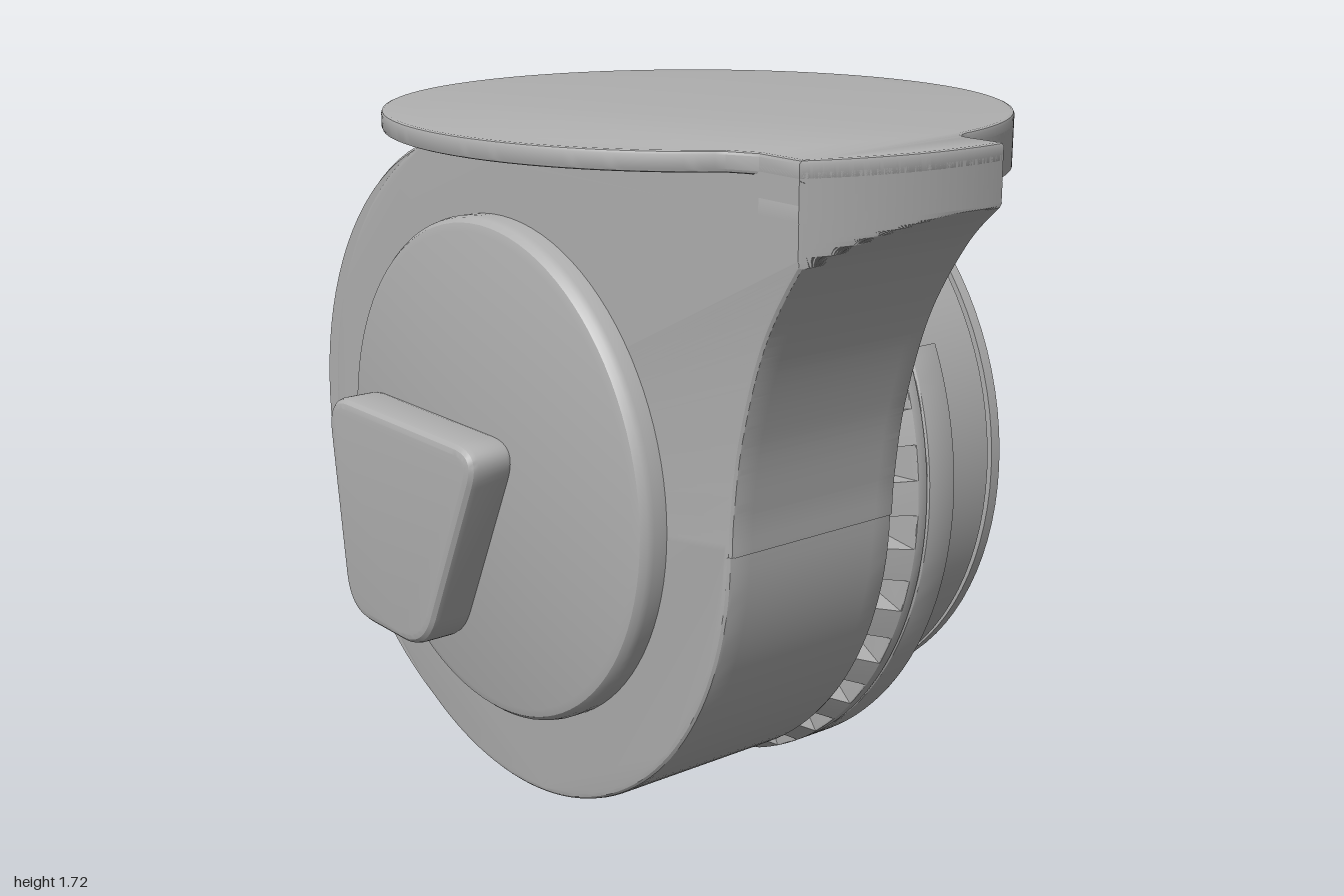
import * as THREE from 'three';
import { toCreasedNormals } from 'three/addons/utils/BufferGeometryUtils.js';

const D = Math.PI / 180;
const CY = 0.85, CZ = -0.12; // drum axis, running along x

const metal = new THREE.MeshStandardMaterial({ color: 0xb0b0b0 });
metal.name = 'grey metal';

function mesh(name, geo, parent, crease = 0.5) {
  const m = new THREE.Mesh(toCreasedNormals(geo, crease), metal);
  m.name = name;
  parent.add(m);
  return m;
}

// Extrude along x from x0 to x1; shape x runs towards -z, shape y is up
function extrudeX(shape, x0, x1, bevel = 0, steps = 1, curveSegments = 48) {
  const g = new THREE.ExtrudeGeometry(shape, {
    depth: x1 - x0 - 2 * bevel, steps, curveSegments,
    bevelEnabled: bevel > 0, bevelThickness: bevel, bevelSize: bevel,
    bevelOffset: -bevel, bevelSegments: 3,
  });
  return g.rotateY(Math.PI / 2).translate(x0 + bevel, 0, 0);
}

// Turned part around the x axis, from [radius, x] pairs
function turnX(points, segments = 96) {
  return new THREE.LatheGeometry(points.map(p => new THREE.Vector2(...p)), segments).rotateZ(-Math.PI / 2);
}

const polar = (r, deg) => new THREE.Vector2(r * Math.cos(deg * D), r * Math.sin(deg * D));

function circleHole(r, deg, size) {
  const c = polar(r, deg);
  return new THREE.Path().absarc(c.x, c.y, size, 0, Math.PI * 2, true);
}

function roundedPolygon(corners, t) {
  const s = new THREE.Shape(), n = corners.length;
  const v = corners.map(c => new THREE.Vector2(...c));
  const toward = (a, b) => a.clone().add(b.clone().sub(a).setLength(t));
  v.forEach((c, i) => {
    const a = toward(c, v[(i + n - 1) % n]), b = toward(c, v[(i + 1) % n]);
    if (i === 0) s.moveTo(a.x, a.y); else s.lineTo(a.x, a.y);
    s.quadraticCurveTo(c.x, c.y, b.x, b.y);
  });
  s.closePath();
  return s;
}

// Mounting plate outline: disc with a front tab, shape y runs towards +z
function plateShape(endDeg) {
  const s = new THREE.Shape(), start = polar(0.73, 78);
  s.moveTo(start.x, start.y);
  s.absarc(0, 0, 0.73, 78 * D, endDeg * D, true);
  s.lineTo(-0.385, 0.66);
  s.lineTo(-0.385, 0.78);
  s.absarc(0, 0, 0.87, 116.3 * D, 83.4 * D, true);
  s.lineTo(0.1, 0.78);
  s.quadraticCurveTo(0.1, 0.73, start.x, start.y);
  return s;
}

function plateGeo(endDeg, top, bottom, bevel) {
  return new THREE.ExtrudeGeometry(plateShape(endDeg), {
    depth: top - bottom - 2 * bevel, curveSegments: 96, bevelEnabled: bevel > 0,
    bevelThickness: bevel, bevelSize: bevel, bevelOffset: -bevel, bevelSegments: 2,
  }).rotateX(Math.PI / 2).translate(0, top - bevel, 0.13);
}

export function createModel() {
  const model = new THREE.Group();
  model.name = 'actuator joint';
  const drive = new THREE.Group();
  drive.name = 'drive unit';
  drive.position.set(0, CY, CZ);
  model.add(drive);

  // Mounting plate: thin over the whole disc, thick right of the housing
  mesh('mountingPlate', plateGeo(-235, 1.725, 1.68, 0.008), model);
  mesh('plateThickening', plateGeo(-121.9, 1.7, 1.6, 0), model);

  // Housing: round body sweeping up into the front tab
  const body = new THREE.Shape();
  body.moveTo(-1.12, 0.8);
  body.lineTo(-1.12, 0.745);
  body.splineThru([[-1.03, 0.65], [-0.93, 0.48], [-0.865, 0.27], [-0.84, 0.1], [-0.835, 0]]
    .map(p => new THREE.Vector2(...p)));
  body.absarc(0, 0, 0.83, Math.PI, Math.PI * 2 + 64 * D, false);
  body.lineTo(0.4, 0.8);
  const bodyGeo = extrudeX(body, -0.385, 0.105, 0.015, 10);
  const bp = bodyGeo.attributes.position;
  for (let i = 0; i < bp.count; i++) { // follow the curved front of the tab
    const limit = 0.13 - CZ + Math.sqrt(0.87 ** 2 - bp.getX(i) ** 2);
    bp.setZ(i, Math.min(bp.getZ(i), limit));
  }
  mesh('housing', bodyGeo, drive);
  const bulge = mesh('rearBulge', turnX([[0, -0.382], [0.79, -0.382], [0.8, -0.37], [0.8, -0.17], [0, -0.17]]), drive);
  bulge.position.z = -0.08;

  // End cap and connector cover
  mesh('endCap', turnX([[0, -0.455], [0.585, -0.455], [0.605, -0.449], [0.616, -0.436], [0.62, -0.42], [0.62, -0.37]]), drive);
  mesh('connectorCover', extrudeX(
    roundedPolygon([[0.56, 0.105], [-0.15, 0.105], [0.12, -0.48], [0.49, -0.48]], 0.11), -0.57, -0.44, 0.025, 1, 12), drive);

  // Toothed ring, tapering towards the housing, without teeth at the two gaps
  const gear = new THREE.Shape();
  for (let i = 0; i < 32; i++) {
    const a = 3.75 + i * 11.25 + 5.625;
    const gap = [150, 330].some(g => Math.abs(a - g) < 8);
    [[0.765, -2.9], [gap ? 0.765 : 0.85, -2.8], [gap ? 0.765 : 0.85, 0],
      [gap ? 0.765 : 0.85, 2.8], [0.765, 2.9]].forEach(([r, d], j) => {
      const p = polar(r, a + d);
      if (i + j === 0) gear.moveTo(p.x, p.y); else gear.lineTo(p.x, p.y);
    });
  }
  const gearGeo = extrudeX(gear, 0.1, 0.166);
  const gp = gearGeo.attributes.position;
  for (let i = 0; i < gp.count; i++) {
    if (gp.getX(i) < 0.13) gp.setXYZ(i, gp.getX(i), gp.getY(i) * 0.95, gp.getZ(i) * 0.95);
  }
  mesh('toothedRing', gearGeo, drive, 0.3);

  // Collar and drilled flange, each in two arcs
  const smallHoles = [0, 1, 2, 3, 5, 7, 9, 10, 12, 14, 15].map(k => 3.75 + 22.5 * k);
  const largeHoles = Array.from({ length: 16 }, (_, k) => 15 + 22.5 * k);
  for (const from of [-25, 155]) {
    const to = from + 170;
    const sector = () => {
      const s = new THREE.Shape();
      s.absarc(0, 0, 0.85, from * D, to * D, false);
      s.absarc(0, 0, 0.74, to * D, from * D, true);
      s.closePath();
      return s;
    };
    mesh('collar', extrudeX(sector(), 0.164, 0.195, 0.004), drive);
    const flange = sector();
    const drill = (list, size) => list.forEach(a => {
      const d = a > to ? a - 360 : a;
      if (d > from + 3 && d < to - 3) flange.holes.push(circleHole(0.793, d, size));
    });
    drill(largeHoles, 0.023);
    drill(smallHoles, 0.012);
    mesh('flange', extrudeX(flange, 0.198, 0.288, 0.01, 1, 32), drive);
  }

  // Output drum with rim groove and sunken face floor
  mesh('outputDrum', turnX([[0, 0.09], [0.762, 0.09], [0.762, 0.275], [0.745, 0.275], [0.745, 0.508],
    [0.73, 0.508], [0.73, 0.522], [0.745, 0.522], [0.745, 0.55], [0.712, 0.575], [0.712, 0.55],
    [0.21, 0.55], [0.21, 0.538], [0, 0.538]]), drive, 0.35);

  // Face plate with a four-lobed opening and four screw pockets
  const face = new THREE.Shape().absarc(0, 0, 0.712, 0, Math.PI * 2, false);
  const lobes = [];
  for (let k = 0; k < 4; k++) {
    const mid = 84 + 90 * k;
    for (let d = -25; d <= 25; d += 5) lobes.push(polar(0.47, mid + d));
    [[0.455, 27.5], [0.39, 29.5], [0.365, 33], [0.358, 39], [0.358, 45], [0.358, 51], [0.365, 57], [0.39, 60.5], [0.455, 62.5]]
      .forEach(([r, d]) => lobes.push(polar(r, mid + d)));
  }
  face.holes.push(new THREE.Path(lobes));
  for (let k = 0; k < 4; k++) {
    const a = 39 + 90 * k, c = polar(0.422, a), pocket = [];
    for (let i = 0; i < 24; i++) {
      const t = (i + 0.5) * 15;
      const side = t < 180 ? 0.05 : -0.05;
      pocket.push(polar(0.044, a + t).add(polar(side, a + 90)).add(c));
    }
    face.holes.push(new THREE.Path(pocket));
  }
  mesh('facePlate', extrudeX(face, 0.546, 0.575, 0, 1, 96), drive);

  // Bolt bosses and pocket screws on the output face
  const addScrew = (name, r, deg, size, bore) => {
    const p = polar(r, deg);
    const m = mesh(name, turnX([[size, 0.545], [size, 0.57], [size - 0.004, 0.574],
      [bore, 0.574], [bore, 0.555], [0, 0.555]], 32), drive);
    m.position.set(0, p.y, -p.x);
  };
  for (let k = 0; k < 4; k++) {
    addScrew('outerBolt', 0.387, 84 + 90 * k, 0.07, 0.031);
    addScrew('innerBolt', 0.292, 39 + 90 * k, 0.068, 0.031);
    for (const d of [-6.7, 6.7]) addScrew('pocketScrew', 0.425, 39 + 90 * k + d, 0.023, 0.012);
  }
  return model;
}
